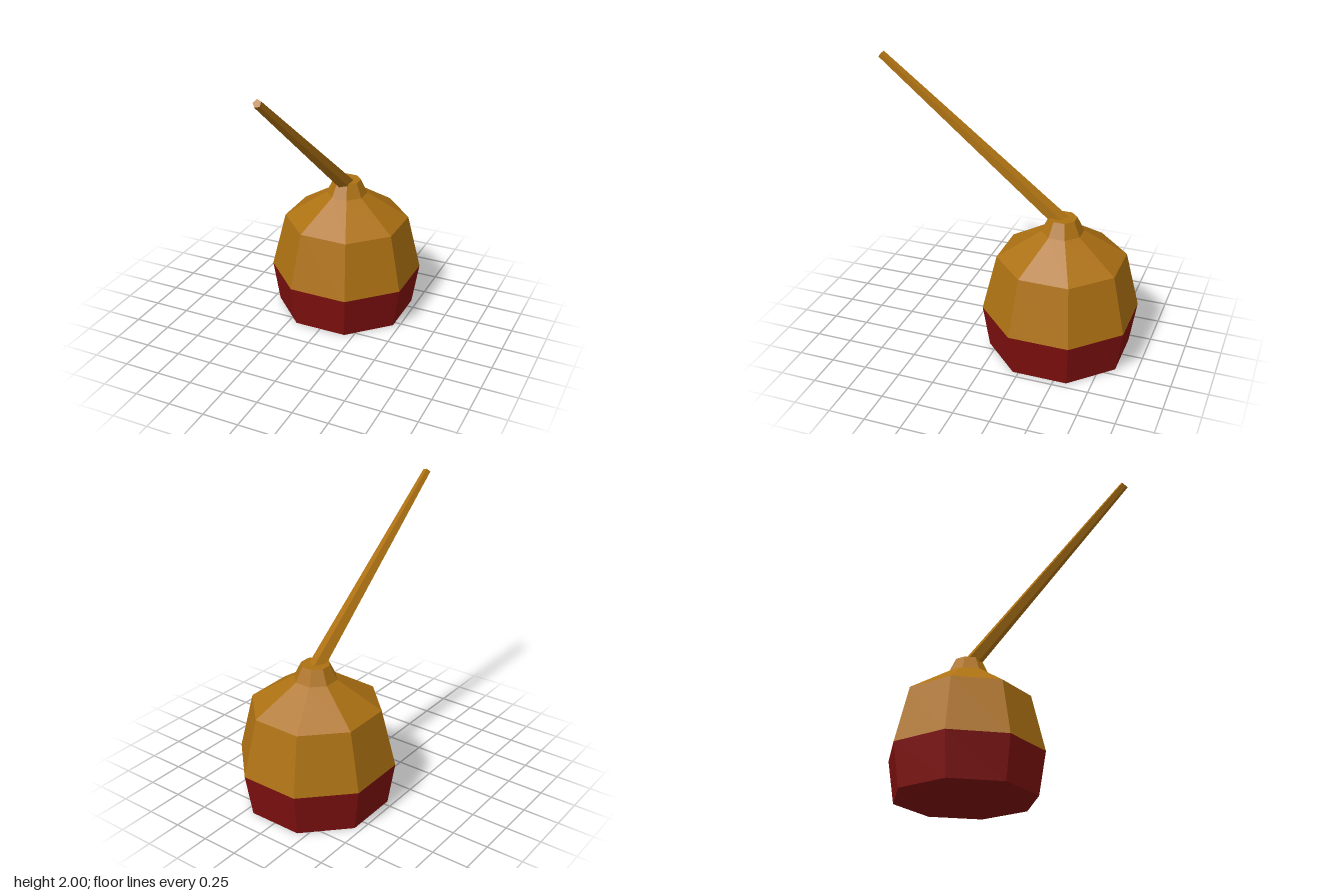
import * as THREE from 'three';

const SIDES = 8;
const CENTER_Z = -0.4;

function makeMaterial(name, color) {
  const m = new THREE.MeshStandardMaterial({ color });
  m.name = name;
  m.flatShading = true;
  return m;
}

// Octagonal turned shell; each point is [half width across flats, height]
function octagonShell(name, points, material) {
  const profile = points.map(([a, y]) => new THREE.Vector2(a / Math.cos(Math.PI / SIDES), y));
  const mesh = new THREE.Mesh(new THREE.LatheGeometry(profile, SIDES, Math.PI / SIDES), material);
  mesh.name = name;
  mesh.position.z = CENTER_Z;
  return mesh;
}

export function createModel() {
  const ochre = makeMaterial('ochre', 0xad7112);
  const darkRed = makeMaterial('dark red', 0x80100f);
  const group = new THREE.Group();
  group.name = 'gourdWithStick';

  // Red lower band with closed underside
  group.add(octagonShell('base', [[0, 0], [0.455, 0], [0.5, 0.3]], darkRed));

  // Ochre body, shoulder and short neck with closed top
  group.add(octagonShell('body',
    [[0.5, 0.3], [0.41, 0.7], [0.135, 0.89], [0.09, 0.99], [0, 0.99]], ochre));

  // Five-sided tapering stick leaning forward out of the neck
  const start = new THREE.Vector3(0, 0.95, -0.4);
  const end = new THREE.Vector3(0, 1.978, 0.882);
  const dir = end.clone().sub(start);
  const stick = new THREE.Mesh(
    new THREE.CylinderGeometry(0.028, 0.057, dir.length(), 5, 1, false, -Math.PI / 2), ochre);
  stick.name = 'stick';
  stick.rotation.x = Math.atan2(dir.z, dir.y);
  stick.position.copy(start).add(end).multiplyScalar(0.5);
  group.add(stick);

  return group;
}
